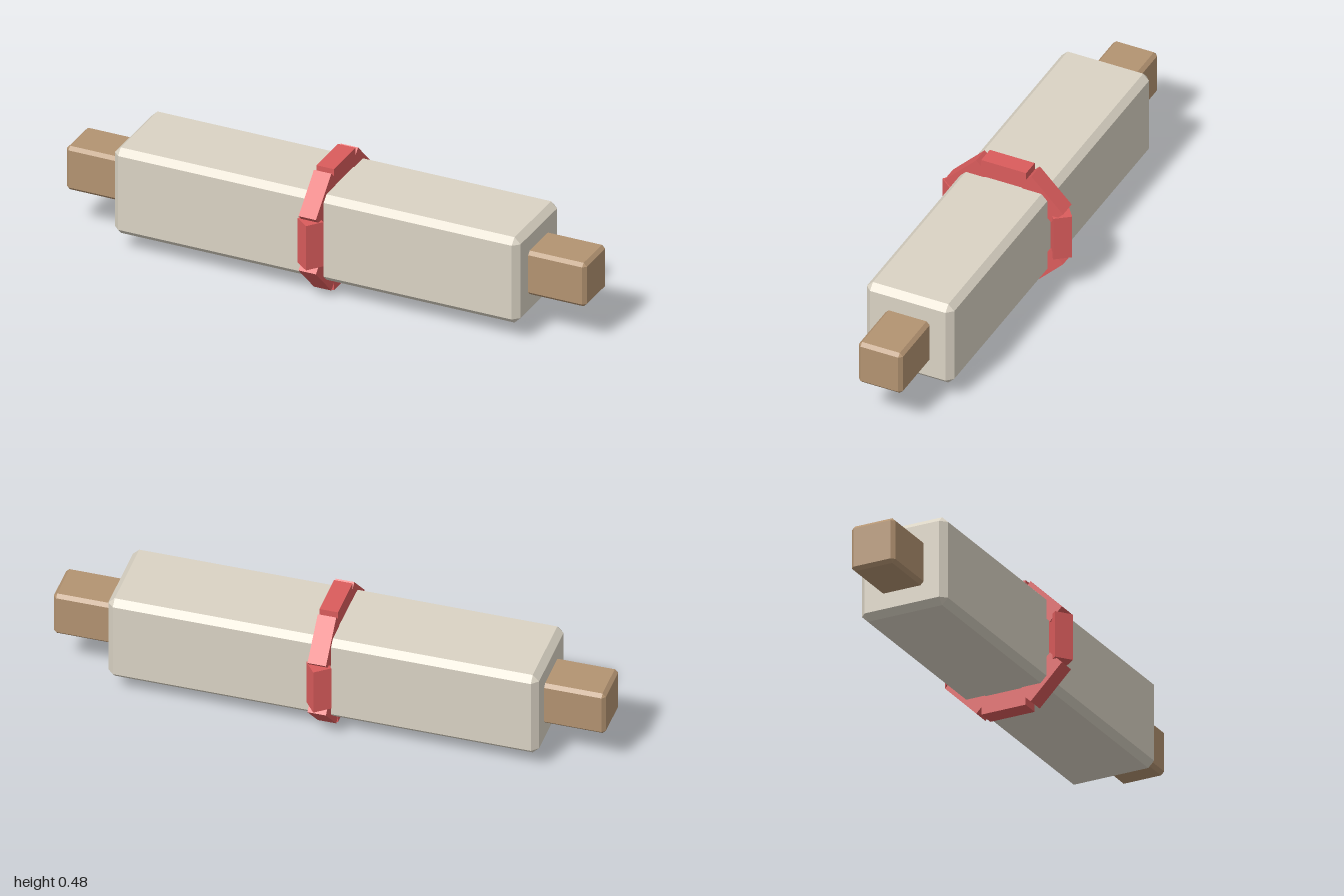
import * as THREE from 'three';
import { ConvexGeometry } from 'three/addons/geometries/ConvexGeometry.js';

// Box with flat chamfered edges, from half sizes and chamfer width
function chamferBox(hx, hy, hz, c) {
  const points = [];
  for (const x of [-1, 1]) for (const y of [-1, 1]) for (const z of [-1, 1]) {
    points.push(new THREE.Vector3(x * hx, y * (hy - c), z * (hz - c)));
    points.push(new THREE.Vector3(x * (hx - c), y * hy, z * (hz - c)));
    points.push(new THREE.Vector3(x * (hx - c), y * (hy - c), z * hz));
  }
  return new ConvexGeometry(points);
}

export function createModel() {
  const model = new THREE.Group();
  model.name = 'scroll';
  const paper = new THREE.MeshStandardMaterial({ name: 'paper', color: 0xdad3c4 });
  const wood = new THREE.MeshStandardMaterial({ name: 'wood', color: 0xb39371 });
  const ribbon = new THREE.MeshStandardMaterial({ name: 'red ribbon', color: 0xda5c5c });

  const add = (parent, name, geometry, material) => {
    const mesh = new THREE.Mesh(geometry, material);
    mesh.name = name;
    parent.add(mesh);
    return mesh;
  };
  const midY = 0.238;

  // Rolled paper and the rod through it
  add(model, 'paperRoll', chamferBox(0.78, 0.168, 0.169, 0.023), paper).position.y = midY;
  add(model, 'rod', chamferBox(1, 0.0855, 0.0855, 0.0125), wood).position.y = midY;

  // Ribbon of eight blocks around the middle
  const band = new THREE.Group();
  band.name = 'ribbonBand';
  band.position.y = midY;
  model.add(band);
  const thick = 0.067, radius = 0.2045;
  const block = new THREE.BoxGeometry(thick, thick, 0.174);
  for (let i = 0; i < 8; i++) {
    const a = i * Math.PI / 4;
    const mesh = add(band, 'ribbonBlock', block, ribbon);
    mesh.position.set(0, Math.cos(a) * radius, Math.sin(a) * radius);
    mesh.rotation.x = a;
    // Front and back blocks are twisted about their length
    if (i % 4 === 2) mesh.rotateZ(THREE.MathUtils.degToRad(38));
  }
  return model;
}
